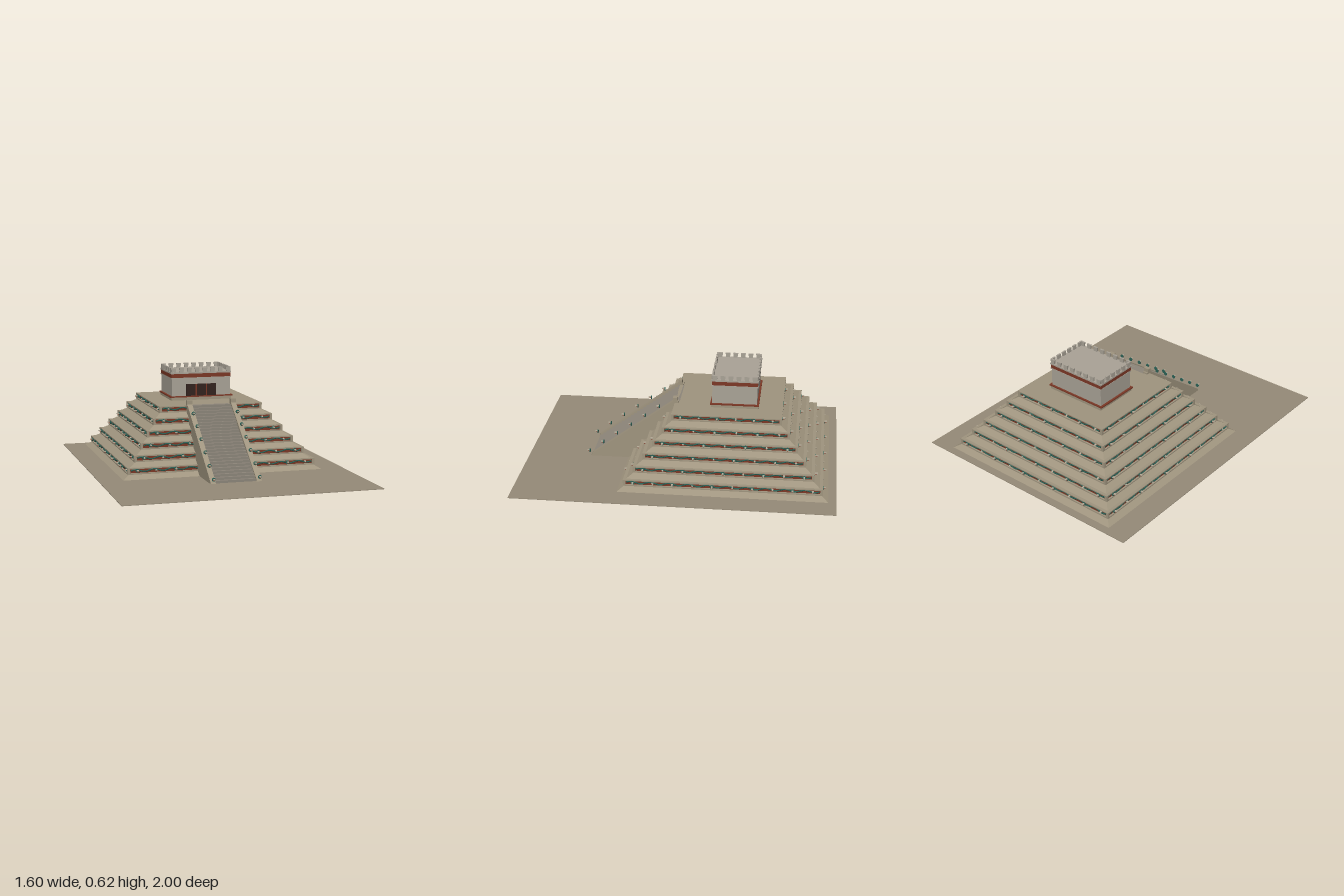
import * as THREE from 'three';

const mat = (color, extra = {}) => new THREE.MeshStandardMaterial({ color, ...extra });
const M = {
  ground: mat(0x968b78), stone: mat(0xa0957f), stair: mat(0x8d867a), wall: mat(0xaaa397),
  red: mat(0x7c3826), teal: mat(0x2c6257), shell: mat(0xb5ab98), dark: mat(0x33231f),
};

const CZ = -0.3;      // centre of the pyramid in z
const Y0 = 0.004;     // top of the ground slab
const TIERS = 6, TIER_H = 0.067, TOP = Y0 + TIERS * TIER_H;
const tierHalf = i => 0.615 - 0.054 * i;

function add(parent, name, geometry, material, x = 0, y = 0, z = 0) {
  const mesh = new THREE.Mesh(geometry, material);
  mesh.name = name;
  mesh.position.set(x, y, z);
  parent.add(mesh);
  return mesh;
}

// Box standing on y
const block = (parent, name, material, w, h, d, x, y, z) =>
  add(parent, name, new THREE.BoxGeometry(w, h, d), material, x, y + h / 2, z);

// Box whose top is scaled to give sloping sides
function taperedBox(w, h, d, scaleX, scaleZ) {
  const g = new THREE.BoxGeometry(w, h, d).toNonIndexed();
  const p = g.attributes.position;
  for (let i = 0; i < p.count; i++) {
    if (p.getY(i) > 0) p.setXYZ(i, p.getX(i) * scaleX, p.getY(i), p.getZ(i) * scaleZ);
  }
  g.computeVertexNormals();
  return g;
}

// Outline in (z, y), extruded across x
function sideProfile(points, width) {
  const shape = new THREE.Shape(points.map(([z, y]) => new THREE.Vector2(-z, y)));
  const g = new THREE.ExtrudeGeometry(shape, { depth: width, bevelEnabled: false });
  return g.translate(0, 0, -width / 2).rotateY(Math.PI / 2);
}

// Feathered collar with a snout, facing +z
function serpentHead(size) {
  const head = new THREE.Group();
  head.name = 'serpentHead';
  const collar = new THREE.CylinderGeometry(size, size, size * 0.4, 10).rotateX(Math.PI / 2);
  add(head, 'collar', collar, M.teal);
  block(head, 'snout', M.shell, size * 0.9, size * 0.55, size * 1.5, 0, -size * 0.1, size * 0.8);
  block(head, 'jaw', M.red, size * 0.7, size * 0.25, size * 1.1, 0, -size * 0.45, size * 0.65);
  return head;
}

// Wavy serpent and alternating ornaments along one face of a tier
function tierFace(half, front) {
  const face = new THREE.Group();
  face.name = 'tierFace';
  const waves = Math.round(half * 16), pts = [];
  for (let k = 0; k <= waves * 4; k++) {
    const t = k / (waves * 4);
    pts.push(new THREE.Vector3((2 * t - 1) * (half - 0.02), 0.049 + 0.0075 * Math.sin(t * waves * Math.PI * 2), half - 0.007));
  }
  add(face, 'serpentBody', new THREE.TubeGeometry(new THREE.CatmullRomCurve3(pts), waves * 6, 0.0048, 5), M.teal);
  const n = Math.round(half * 2 / 0.123);
  for (let k = 0; k < n; k++) {
    const x = ((k + 0.5) / n * 2 - 1) * half;
    if (front && Math.abs(x) < 0.185) continue;
    if (k % 2) {
      const shell = add(face, 'shell', new THREE.ConeGeometry(0.009, 0.018, 7), M.shell, x, 0.046, half);
      shell.rotation.x = Math.PI / 2;
    } else {
      const head = serpentHead(0.012);
      head.position.set(x, 0.05, half);
      face.add(head);
    }
  }
  return face;
}

function makeTier(i) {
  const tier = new THREE.Group();
  tier.name = 'tier' + (i + 1);
  const w = tierHalf(i), base = 2 * (w + 0.035), s = (w - 0.012) * 2 / base;
  // Sloping foot, recessed red panel, frame and cornice
  add(tier, 'slopingFoot', taperedBox(base, 0.028, base, s, s), M.stone, 0, 0.014, 0);
  block(tier, 'redPanel', M.red, 2 * w - 0.022, 0.034, 2 * w - 0.022, 0, 0.028, 0);
  block(tier, 'lowerFrame', M.stone, 2 * w, 0.008, 2 * w, 0, 0.026, 0);
  block(tier, 'cornice', M.stone, 2 * w, 0.007, 2 * w, 0, 0.06, 0);
  for (const x of [-1, 1]) for (const z of [-1, 1]) {
    block(tier, 'cornerPost', M.stone, 0.016, 0.028, 0.016, x * (w - 0.008), 0.033, z * (w - 0.008));
  }
  for (let k = 0; k < 4; k++) {
    const face = tierFace(w, k === 0);
    face.rotation.y = k * Math.PI / 2;
    tier.add(face);
  }
  tier.position.set(0, Y0 + i * TIER_H, CZ);
  return tier;
}

function makeStaircase() {
  const stairs = new THREE.Group();
  stairs.name = 'staircase';
  // Steps as one stepped outline
  const n = 26, z0 = 0.585, z1 = 0.035, outline = [[z1 - 0.02, Y0], [z0, Y0]];
  for (let k = 0; k < n; k++) {
    const z = z0 + (z1 - z0) * k / n, y = Y0 + (TOP - Y0) * (k + 1) / n;
    outline.push([z, y], [z0 + (z1 - z0) * (k + 1) / n, y]);
  }
  outline.push([z1 - 0.02, TOP]);
  add(stairs, 'steps', sideProfile(outline, 0.27), M.stair);
  // Balustrades with end blocks and serpent heads
  for (const side of [-1, 1]) {
    const x = side * 0.147;
    const rail = [[0.02, Y0], [0.597, Y0], [0.588, 0.02], [0.055, TOP + 0.01], [0.02, TOP + 0.01]];
    add(stairs, 'balustrade', sideProfile(rail, 0.033), M.stone, x);
    block(stairs, 'balustradeCap', M.stone, 0.036, 0.035, 0.026, x, TOP, 0.043);
    for (let k = 0; k < 6; k++) {
      const head = serpentHead(0.012);
      head.position.set(x, 0.033 + k * 0.0672, 0.606 - k * 0.092);
      stairs.add(head);
    }
  }
  return stairs;
}

function makeTemple() {
  const temple = new THREE.Group();
  temple.name = 'temple';
  block(temple, 'plinth', M.stone, 0.41, 0.022, 0.3, 0, 0, 0);
  block(temple, 'plinthEdge', M.red, 0.428, 0.008, 0.308, 0, 0.02, 0);
  block(temple, 'walls', M.wall, 0.4, 0.16, 0.284, 0, 0.026, 0);
  block(temple, 'lowerTrim', M.wall, 0.41, 0.007, 0.294, 0, 0.143, 0);
  block(temple, 'redBand', M.red, 0.406, 0.026, 0.29, 0, 0.15, 0);
  block(temple, 'roofTrim', M.wall, 0.414, 0.01, 0.298, 0, 0.176, 0);
  // Doorways with lintel
  for (const k of [-1, 0, 1]) block(temple, 'doorway', M.dark, 0.062, 0.078, 0.01, k * 0.072, 0.028, 0.143);
  for (const x of [-0.036, 0.036]) block(temple, 'doorPillar', M.red, 0.01, 0.078, 0.008, x, 0.028, 0.143);
  // Flared battlements around the roof
  const merlon = taperedBox(0.025, 0.03, 0.011, 1.3, 1);
  for (const side of [-1, 1]) {
    for (let k = 0; k < 8; k++) {
      add(temple, 'merlon', merlon, M.wall, -0.187 + k * 0.0534, 0.2, side * 0.142);
    }
    for (let k = 0; k < 6; k++) {
      add(temple, 'merlon', merlon, M.wall, side * 0.2, 0.2, -0.125 + k * 0.05).rotation.y = Math.PI / 2;
    }
  }
  temple.position.set(0, TOP, -0.34);
  return temple;
}

export function createModel() {
  const model = new THREE.Group();
  model.name = 'steppedPyramid';
  block(model, 'ground', M.ground, 1.6, Y0, 2, 0, 0, 0);
  for (let i = 0; i < TIERS; i++) model.add(makeTier(i));
  model.add(makeStaircase(), makeTemple());
  return model;
}
